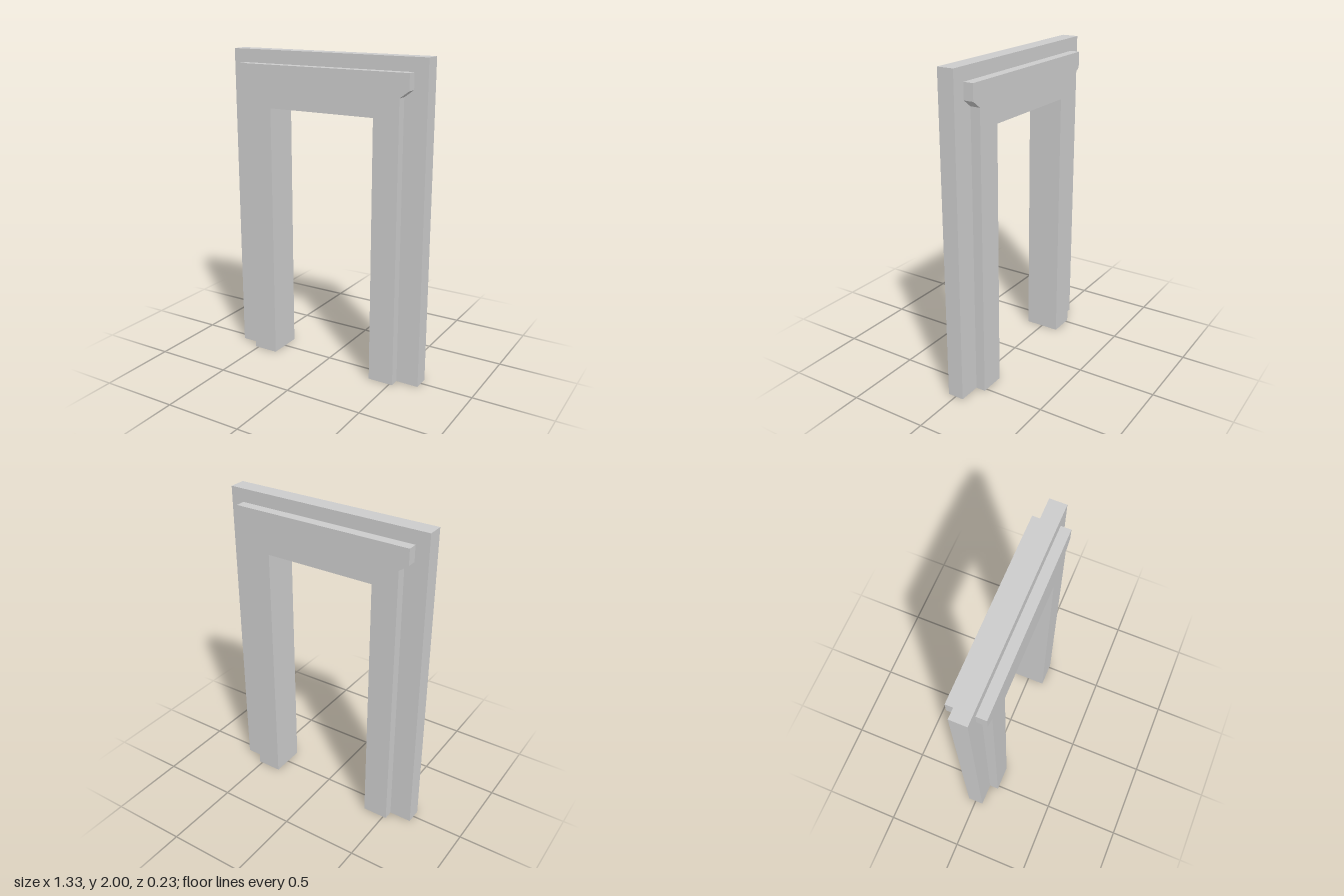
import * as THREE from 'three';

const OPEN_X = 0.357, OPEN_Y = 1.652; // doorway half width and height
const CORE = 0.052, FACE = 0.114;     // half depths of the core and the casing

// Extrudes a doorway outline, given by its right half from floor to top, between z0 and z1
function doorway(name, half, z0, z1, material) {
  const right = [[OPEN_X, OPEN_Y], [OPEN_X, 0], ...half];
  const left = right.map(([x, y]) => [-x, y]).reverse();
  const shape = new THREE.Shape([...right, ...left].map(([x, y]) => new THREE.Vector2(x, y)));
  const geometry = new THREE.ExtrudeGeometry(shape, { depth: z1 - z0, bevelEnabled: false });
  geometry.translate(0, 0, z0);
  const mesh = new THREE.Mesh(geometry, material);
  mesh.name = name;
  return mesh;
}

export function createModel() {
  const group = new THREE.Group();
  group.name = 'doorFrame';
  const material = new THREE.MeshStandardMaterial({ color: 0xcccccc, flatShading: true });

  // Core slab: jambs and lintel
  group.add(doorway('frameCore', [[0.665, 0], [0.665, 2]], -CORE, CORE, material));

  // Raised casing with a flared head, on both faces
  const casing = [[0.521, 0], [0.521, 1.775], [0.58, 1.818], [0.58, 1.917]];
  group.add(doorway('frontCasing', casing, CORE, FACE, material));
  group.add(doorway('backCasing', casing, -FACE, -CORE, material));

  return group;
}
